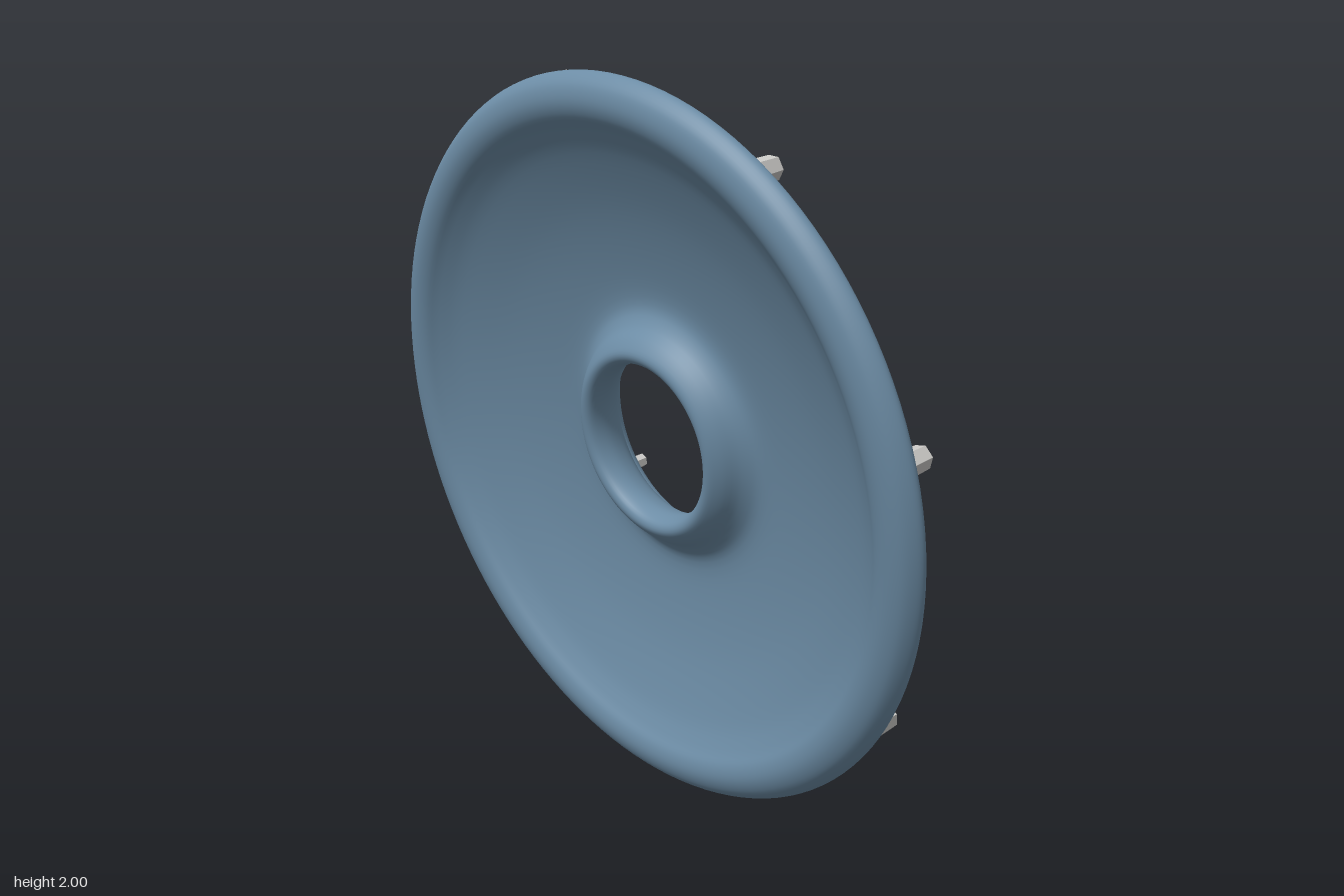
import * as THREE from 'three';

const steel = new THREE.MeshStandardMaterial({ color: 0x6c8ca5 });
steel.name = 'steelBlue';
const ribSteel = steel;
const bolt = new THREE.MeshStandardMaterial({ color: 0xc9c8c5 });
bolt.name = 'boltGrey';

function add(parent, name, geometry, material) {
  const mesh = new THREE.Mesh(geometry, material);
  mesh.name = name;
  parent.add(mesh);
  return mesh;
}

// Hexagonal bolt head standing on the disc at a given angle and radius
function addBolt(parent, name, angle, radius, base, size, height) {
  const geometry = new THREE.CylinderGeometry(size * 0.93, size, height, 6).toNonIndexed();
  geometry.computeVertexNormals();
  const mesh = add(parent, name, geometry, bolt);
  mesh.position.set(radius * Math.sin(angle), base + height / 2, radius * Math.cos(angle));
  mesh.rotation.y = angle;
}

export function createModel() {
  const model = new THREE.Group();
  model.name = 'ribbedDish';

  // The disc is built around the y axis, then tilted as a whole
  const disc = new THREE.Group();
  disc.name = 'disc';
  const axis = new THREE.Vector3(0.845, 0.205, -0.494).normalize();
  const up = new THREE.Vector3(0, 1, 0).addScaledVector(axis, -axis.y).normalize();
  const side = new THREE.Vector3().crossVectors(axis, up);
  disc.quaternion.setFromRotationMatrix(new THREE.Matrix4().makeBasis(side, axis, up));
  disc.position.set(0, 1, 0.005);
  model.add(disc);

  // Dish shell: throat, rolled front lip, hollow face, rolled rim, domed back
  const profile = new THREE.SplineCurve([
    [0.30, 0.185], [0.272, 0.178], [0.24, 0.15], [0.222, 0.11], [0.22, 0.075],
    [0.232, 0.042], [0.258, 0.034], [0.29, 0.058], [0.325, 0.1], [0.38, 0.124],
    [0.5, 0.11], [0.65, 0.075], [0.8, 0.022], [0.87, -0.015], [0.91, -0.042],
    [0.95, -0.05], [0.99, -0.038], [1.015, -0.01], [1.017, 0.012], [0.995, 0.027],
    [0.95, 0.038], [0.9, 0.053], [0.8, 0.088], [0.65, 0.13], [0.5, 0.16],
    [0.37, 0.176], [0.30, 0.185],
  ].map(([r, d]) => new THREE.Vector2(r, d))).getPoints(108);
  add(disc, 'dishShell', new THREE.LatheGeometry(profile, 128), steel);

  // Raised collar around the hole
  const collar = new THREE.TorusGeometry(0.323, 0.043, 16, 96).rotateX(Math.PI / 2);
  add(disc, 'hubCollar', collar, steel).position.y = 0.174;

  // Radial rib: a thin arched plate following the dome
  const ribShape = new THREE.Shape([
    [0.34, 0.165], [0.5, 0.15], [0.65, 0.12], [0.8, 0.078], [0.92, 0.037],
    [0.92, 0.072], [0.84, 0.11], [0.75, 0.14], [0.6, 0.178], [0.45, 0.2], [0.34, 0.21],
  ].map(([r, d]) => new THREE.Vector2(r, d)));
  const ribWidth = 0.034;
  const ribGeometry = new THREE.ExtrudeGeometry(ribShape, { depth: ribWidth, bevelEnabled: false });
  ribGeometry.translate(0, 0, -ribWidth / 2).rotateY(-Math.PI / 2);

  const start = THREE.MathUtils.degToRad(-6);
  for (let i = 0; i < 8; i++) {
    const angle = start + (i * Math.PI) / 4;
    add(disc, 'rib', ribGeometry, ribSteel).rotation.y = angle;
    addBolt(disc, 'rimBolt', angle, 0.983, 0.01, 0.034, 0.063);
  }

  // Small bolts on the collar
  for (let i = 0; i < 4; i++) {
    const angle = THREE.MathUtils.degToRad(-29 + i * 90);
    addBolt(disc, 'collarBolt', angle, 0.321, 0.2, 0.021, 0.043);
  }
  return model;
}
